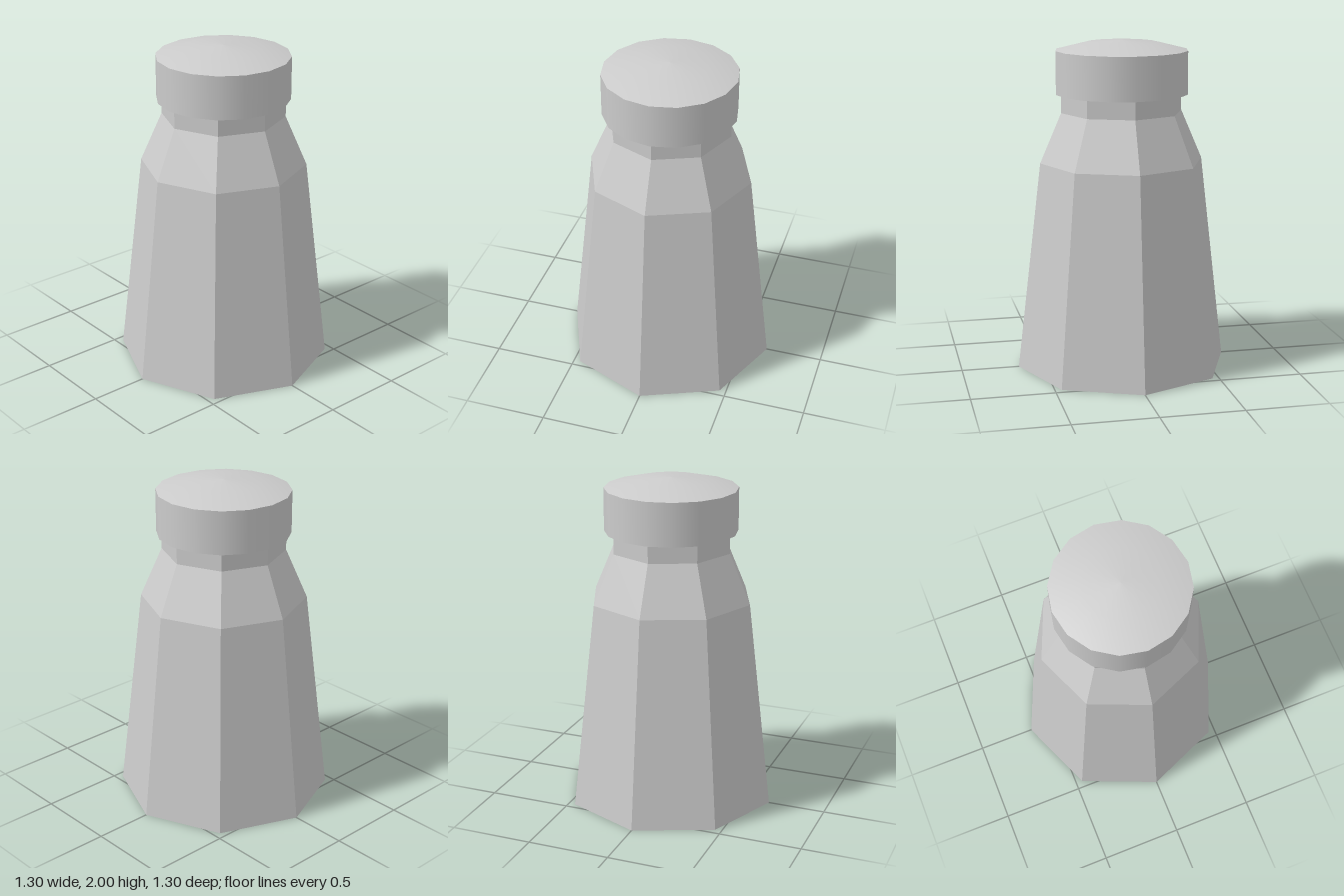
import * as THREE from 'three';

// Turned part from [radius, height] pairs, listed from the bottom up
function turned(name, profile, sides, flatShading) {
  const points = profile.map(([r, y]) => new THREE.Vector2(r, y));
  const material = new THREE.MeshStandardMaterial({ color: 0xcccccc, flatShading });
  const mesh = new THREE.Mesh(new THREE.LatheGeometry(points, sides), material);
  mesh.name = name;
  return mesh;
}

export function createModel() {
  const model = new THREE.Group();
  model.name = 'shaker';

  // Eight-sided tapered body with base, shoulder and neck
  model.add(turned('body', [[0, 0], [0.65, 0], [0.5, 1.27], [0.37, 1.57], [0.37, 1.68]], 8, true));

  // Round cap, in separate pieces so its rims stay sharp
  const cap = new THREE.Group();
  cap.name = 'cap';
  cap.add(
    turned('capUnderside', [[0, 1.68], [0.4, 1.68]], 16, false),
    turned('capSide', [[0.4, 1.68], [0.4, 1.94]], 16, false),
    turned('capDome', [[0.4, 1.94], [0.22, 1.985], [0, 2]], 16, false),
  );
  model.add(cap);

  return model;
}
